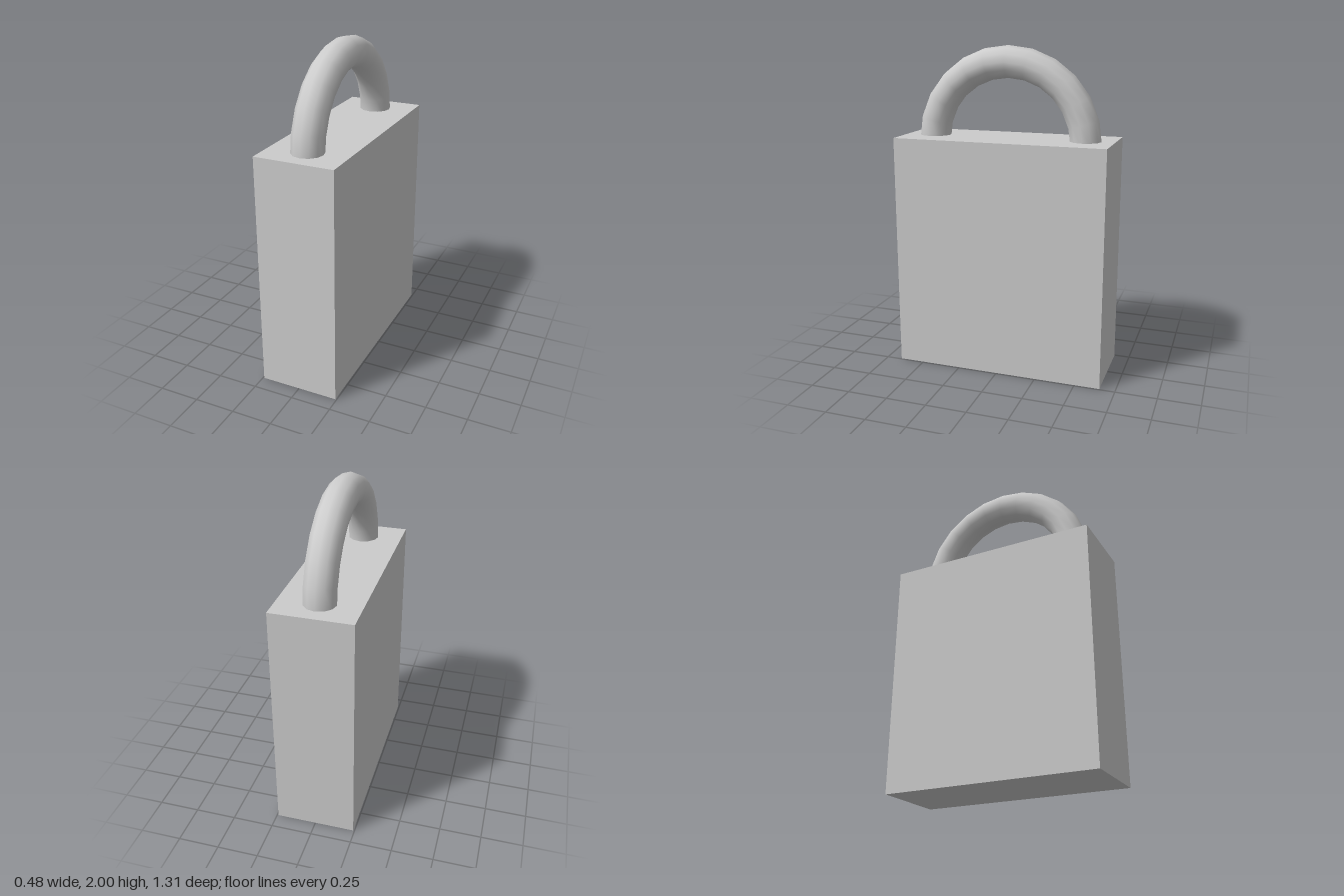
import * as THREE from 'three';

export function createModel() {
  const group = new THREE.Group();
  const material = new THREE.MeshStandardMaterial({ color: 0xcccccc });

  // Solid rectangular lock body
  const height = 1.45;
  const body = new THREE.Mesh(new THREE.BoxGeometry(0.484, height, 1.31), material);
  body.name = 'lockBody';
  body.position.y = height / 2;
  group.add(body);

  // Half-ring shackle, its open ends sunk slightly into the body
  const tube = 0.096;
  const ring = 0.482;
  const shackle = new THREE.Mesh(new THREE.TorusGeometry(ring, tube, 12, 12, Math.PI), material);
  shackle.name = 'shackle';
  shackle.rotation.y = Math.PI / 2;
  shackle.position.y = 2 - ring - tube;
  group.add(shackle);

  return group;
}
